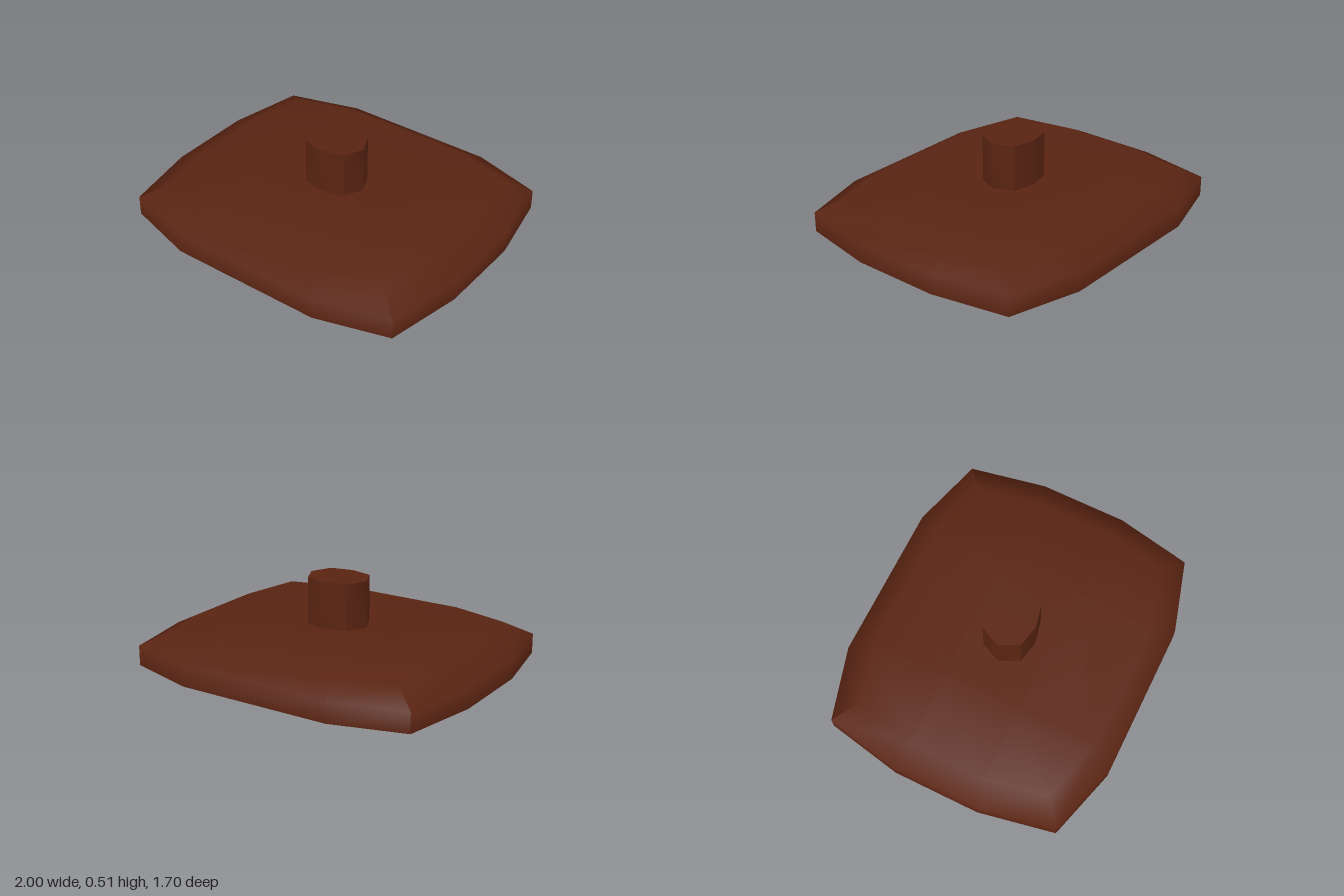
import * as THREE from 'three';
import { toCreasedNormals } from 'three/addons/utils/BufferGeometryUtils.js';

const material = new THREE.MeshStandardMaterial({ color: 0x5a2412 });

// Rounded-square outlines in a 4 x 4 grid: corner, points on the z sides, points on the x sides
const LOWER = { corner: [0.91, 0.725], zSide: [0.475, 0.85], xSide: [1, 0.265] };
const UPPER = { corner: [0.77, 0.61], zSide: [0.4, 0.71], xSide: [0.84, 0.24], inner: [0.4, 0.24] };

function gridPoint(outline, i, j, y) {
  const edgeX = i === 0 || i === 3, edgeZ = j === 0 || j === 3;
  const [x, z] = edgeX ? (edgeZ ? outline.corner : outline.xSide) : edgeZ ? outline.zSide : outline.inner;
  return [i < 2 ? -x : x, y, j < 2 ? -z : z];
}

function createBase() {
  const positions = [], indices = [];
  const add = (p) => positions.push(...p) / 3 - 1;
  const quad = (a, b, c, d) => indices.push(a, b, c, a, c, d);

  // Gently domed top
  const top = [];
  for (let j = 0; j < 4; j++) {
    for (let i = 0; i < 4; i++) {
      const inner = i % 3 !== 0 && j % 3 !== 0;
      top.push(add(gridPoint(UPPER, i, j, inner ? 0.23 : 0.2)));
    }
  }
  for (let j = 0; j < 3; j++) {
    for (let i = 0; i < 3; i++) {
      const k = j * 4 + i;
      quad(top[k + 4], top[k + 5], top[k + 1], top[k]);
    }
  }

  // Four walls with a bevel, smooth along each side and sharp at the corners
  const sides = [(t) => [t, 3], (t) => [3, 3 - t], (t) => [3 - t, 0], (t) => [0, t]];
  const foot = [];
  for (const side of sides) {
    const columns = [0, 1, 2, 3].map((t) => {
      const [i, j] = side(t);
      const low = gridPoint(LOWER, i, j, 0);
      if (t < 3) foot.push(low);
      return [add(low), add(gridPoint(LOWER, i, j, 0.12)), top[j * 4 + i]];
    });
    for (let t = 0; t < 3; t++) {
      for (let r = 0; r < 2; r++) {
        quad(columns[t][r], columns[t + 1][r], columns[t + 1][r + 1], columns[t][r + 1]);
      }
    }
  }

  // Flat underside
  const centre = add([0, 0, 0]);
  const rim = foot.map(add);
  rim.forEach((v, k) => indices.push(centre, rim[(k + 1) % rim.length], v));

  const geometry = new THREE.BufferGeometry();
  geometry.setAttribute('position', new THREE.Float32BufferAttribute(positions, 3));
  geometry.setIndex(indices);
  geometry.computeVertexNormals();
  return geometry;
}

// Eight-sided stem, slightly wider than deep
function createStem() {
  const outline = [[0.19, 0], [0.135, 0.12], [0, 0.15], [-0.135, 0.12],
    [-0.19, 0], [-0.135, -0.12], [0, -0.15], [0.135, -0.12]];
  const shape = new THREE.Shape(outline.map(([x, z]) => new THREE.Vector2(x, z)));
  const geometry = new THREE.ExtrudeGeometry(shape, { depth: 0.31, bevelEnabled: false });
  geometry.rotateX(-Math.PI / 2).translate(0, 0.2, 0);
  return toCreasedNormals(geometry, 0.89);
}

export function createModel() {
  const group = new THREE.Group();
  const parts = { base: createBase(), stem: createStem() };
  for (const [name, geometry] of Object.entries(parts)) {
    const mesh = new THREE.Mesh(geometry, material);
    mesh.name = name;
    group.add(mesh);
  }
  return group;
}
